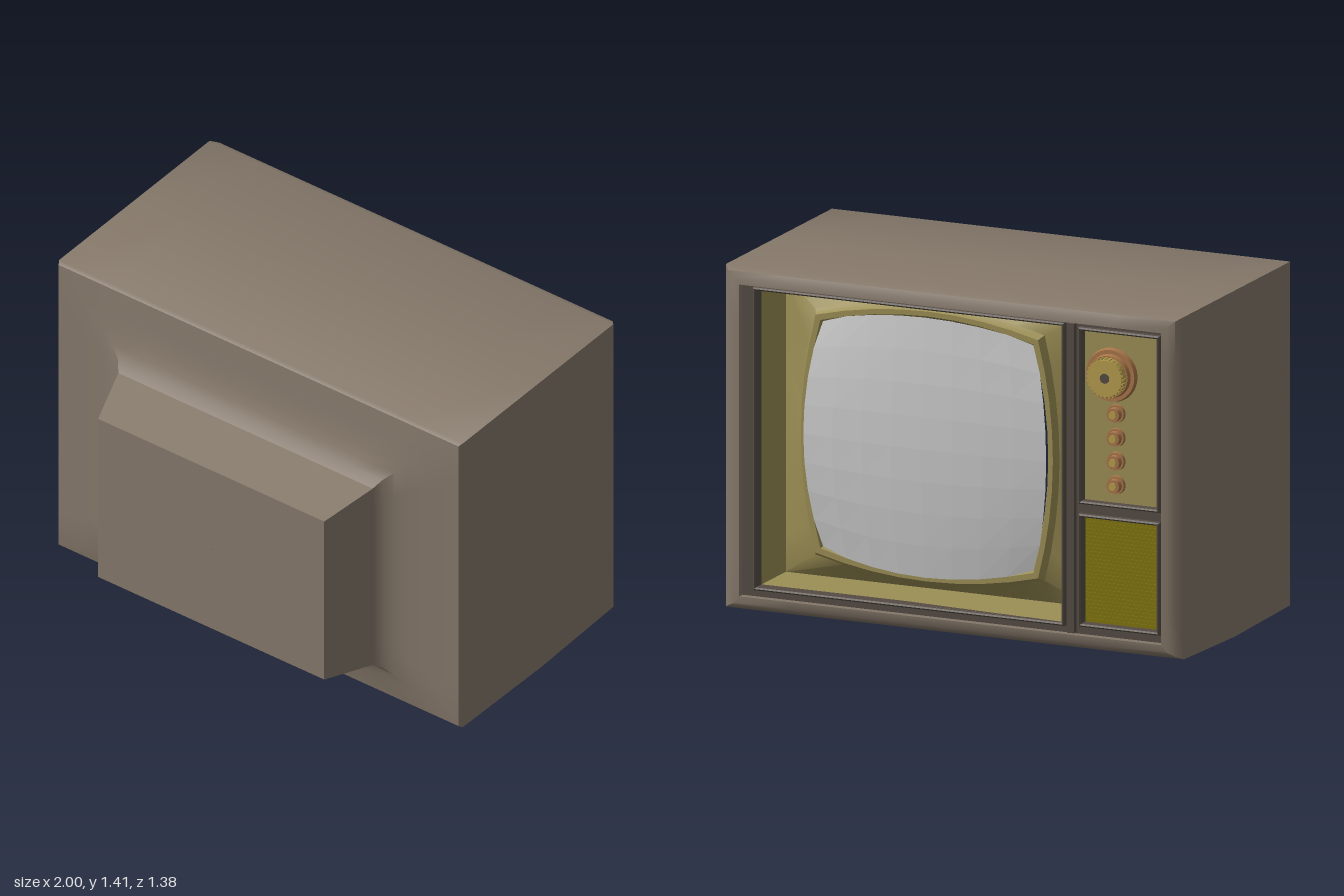
import * as THREE from 'three';
import { toCreasedNormals } from 'three/addons/utils/BufferGeometryUtils.js';

const N = 8; // points per side of a cross-section
const mat = (color, extra = {}) => new THREE.MeshStandardMaterial({ color, ...extra });
const BROWN = mat(0x85786a), DARK = mat(0x554c44), TAN = mat(0x9c8f55);
const GOLD = mat(0xb59c4c), COPPER = mat(0xa9764a), CLOTH = mat(0x80740f);
const GLASS = mat(0xcccccc, { flatShading: true });

// Four-sided cross-section at depth z; bow pushes the middle of each side outwards
function ring(z, x0, x1, y0, y1, bow = 0) {
  const c = [[x0, y0], [x1, y0], [x1, y1], [x0, y1]];
  const out = [[0, -1], [1, 0], [0, 1], [-1, 0]];
  const pts = [];
  for (let s = 0; s < 4; s++) {
    const a = c[s], b = c[(s + 1) % 4];
    for (let i = 0; i < N; i++) {
      const t = i / N, k = bow * 4 * t * (1 - t);
      pts.push([a[0] + (b[0] - a[0]) * t + out[s][0] * k, a[1] + (b[1] - a[1]) * t + out[s][1] * k, z]);
    }
  }
  return pts;
}

// Skin joining cross-sections in order
function loft(rings, crease = 0.6) {
  const n = rings[0].length, pos = [], idx = [];
  rings.forEach(r => r.forEach(p => pos.push(...p)));
  for (let j = 0; j < rings.length - 1; j++) {
    for (let i = 0; i < n; i++) {
      const a = j * n + i, b = j * n + (i + 1) % n;
      idx.push(a, b, b + n, a, b + n, a + n);
    }
  }
  const g = new THREE.BufferGeometry();
  g.setAttribute('position', new THREE.Float32BufferAttribute(pos, 3));
  g.setIndex(idx);
  return toCreasedNormals(g, crease);
}

function rectPath(P, x0, x1, y0, y1) {
  const p = new P();
  p.moveTo(x0, y0); p.lineTo(x1, y0); p.lineTo(x1, y1); p.lineTo(x0, y1); p.closePath();
  return p;
}

export function createModel() {
  const root = new THREE.Group();
  const add = (name, geo, material, parent = root) => {
    const m = new THREE.Mesh(geo, material);
    m.name = name;
    parent.add(m);
    return m;
  };
  const box = (name, x0, x1, y0, y1, z0, z1, material) =>
    add(name, new THREE.BoxGeometry(x1 - x0, y1 - y0, z1 - z0), material)
      .position.set((x0 + x1) / 2, (y0 + y1) / 2, (z0 + z1) / 2);

  // Cabinet: screen-side opening, bevelled rim, body, then the flared tube housing
  const sections = [
    // z, half width, bottom, top
    [-0.60, 0.92, 0.075, 1.345], [-0.665, 0.92, 0.075, 1.345], [-0.662, 0.945, 0.045, 1.37],
    [-0.65, 0.975, 0.03, 1.395], [-0.62, 1, 0.015, 1.41], [-0.15, 1, 0, 1.41], [0.365, 1, 0.01, 1.41],
    [0.38, 0.99, 0.02, 1.40], [0.39, 0.86, 0.07, 1.29], [0.40, 0.75, 0.115, 1.21],
    [0.415, 0.695, 0.16, 1.155], [0.435, 0.655, 0.19, 1.115], [0.465, 0.63, 0.21, 1.08],
    [0.69, 0.56, 0.24, 1.02], [0.69, 0.001, 0.629, 0.631],
  ];
  add('cabinet', loft(sections.map(([z, w, a, b]) => ring(z, -w, w, a, b))), BROWN);

  // Openings of the fascia: x0, x1, y0, y1
  const screenHole = [-0.48, 0.855, 0.115, 1.325];
  const controlHole = [-0.895, -0.565, 0.62, 1.315];
  const speakerHole = [-0.895, -0.565, 0.12, 0.555];
  const holes = [screenHole, controlHole, speakerHole];

  const fascia = rectPath(THREE.Shape, -0.925, 0.925, 0.07, 1.35);
  holes.forEach(h => fascia.holes.push(rectPath(THREE.Path, ...h)));
  const fasciaGeo = new THREE.ExtrudeGeometry(fascia, { depth: 0.04, bevelEnabled: false });
  fasciaGeo.translate(0, 0, -0.635);
  add('fascia', fasciaGeo, DARK);

  // Raised trim round each opening
  const steps = [[-0.6, 0], [-0.65, 0], [-0.655, 0.006], [-0.65, 0.012], [-0.63, 0.014]];
  holes.forEach(([x0, x1, y0, y1]) => {
    add('openingTrim', loft(steps.map(([z, o]) => ring(z, x0 - o, x1 + o, y0 - o, y1 + o))), DARK);
  });
  box('divider', -0.538, -0.507, 0.08, 1.34, -0.66, -0.62, DARK);

  // Deep surround that funnels in to the tube face
  const scr = { x: 0.2, y: 0.715, corner: 0.465, bow: 0.065 };
  const scrRing = (z, o) => ring(z, scr.x - scr.corner - o, scr.x + scr.corner + o,
    scr.y - scr.corner - o, scr.y + scr.corner + o, scr.bow);
  add('screenSurround', loft([
    scrRing(-0.43, -0.012), scrRing(-0.455, 0), scrRing(-0.455, 0.02), scrRing(-0.425, 0.035),
    ring(-0.37, ...screenHole), ring(-0.635, ...screenHole),
  ]), TAN);

  // Bulging picture tube with barrel-shaped outline
  const screen = new THREE.PlaneGeometry(2, 2, 8, 8);
  const p = screen.attributes.position;
  for (let i = 0; i < p.count; i++) {
    const u = p.getX(i), v = p.getY(i);
    p.setXYZ(i,
      scr.x - u * (scr.corner + scr.bow * (1 - v * v)),
      scr.y + v * (scr.corner + scr.bow * (1 - u * u)),
      -0.44 - 0.035 * (2 - u * u - v * v));
  }
  screen.computeVertexNormals();
  add('screen', screen, GLASS);

  // Control panel and speaker cloth
  box('controlPanel', -0.9, -0.56, 0.61, 1.32, -0.615, -0.59, TAN);
  box('speakerPanel', -0.9, -0.56, 0.11, 0.56, -0.61, -0.59, CLOTH);
  for (let i = 0; i < 28; i++) {
    const y = 0.128 + i * 0.0152;
    box('speakerRib', -0.893, -0.567, y, y + 0.008, -0.614, -0.608, CLOTH);
  }

  // Knobs: stacked discs [radius, near z, far z, material]
  const knob = (name, x, y, discs) => {
    const g = new THREE.Group();
    g.name = name;
    g.position.set(x, y, 0);
    root.add(g);
    discs.forEach(([r, z0, z1, m]) => {
      const geo = new THREE.CylinderGeometry(r * 1.06, r, z1 - z0, 28);
      geo.rotateX(Math.PI / 2);
      add(name + 'Disc', geo, m, g).position.z = (z0 + z1) / 2;
    });
    return g;
  };
  const tuner = knob('tuningKnob', -0.685, 1.14, [
    [0.105, -0.635, -0.61, COPPER], [0.085, -0.655, -0.63, COPPER],
    [0.075, -0.688, -0.65, GOLD], [0.02, -0.69, -0.685, DARK],
  ]);
  // Grip ridges round the tuning knob
  for (let i = 0; i < 28; i++) {
    const a = i / 28 * Math.PI * 2;
    const ridge = add('gripRidge', new THREE.BoxGeometry(0.006, 0.008, 0.03), GOLD, tuner);
    ridge.position.set(Math.cos(a) * 0.078, Math.sin(a) * 0.078, -0.67);
    ridge.rotation.z = a;
  }
  for (let i = 0; i < 4; i++) {
    knob('smallKnob', -0.705, 0.985 - i * 0.097, [
      [0.036, -0.63, -0.61, COPPER], [0.027, -0.655, -0.625, COPPER], [0.016, -0.66, -0.65, GOLD],
    ]);
  }
  return root;
}
